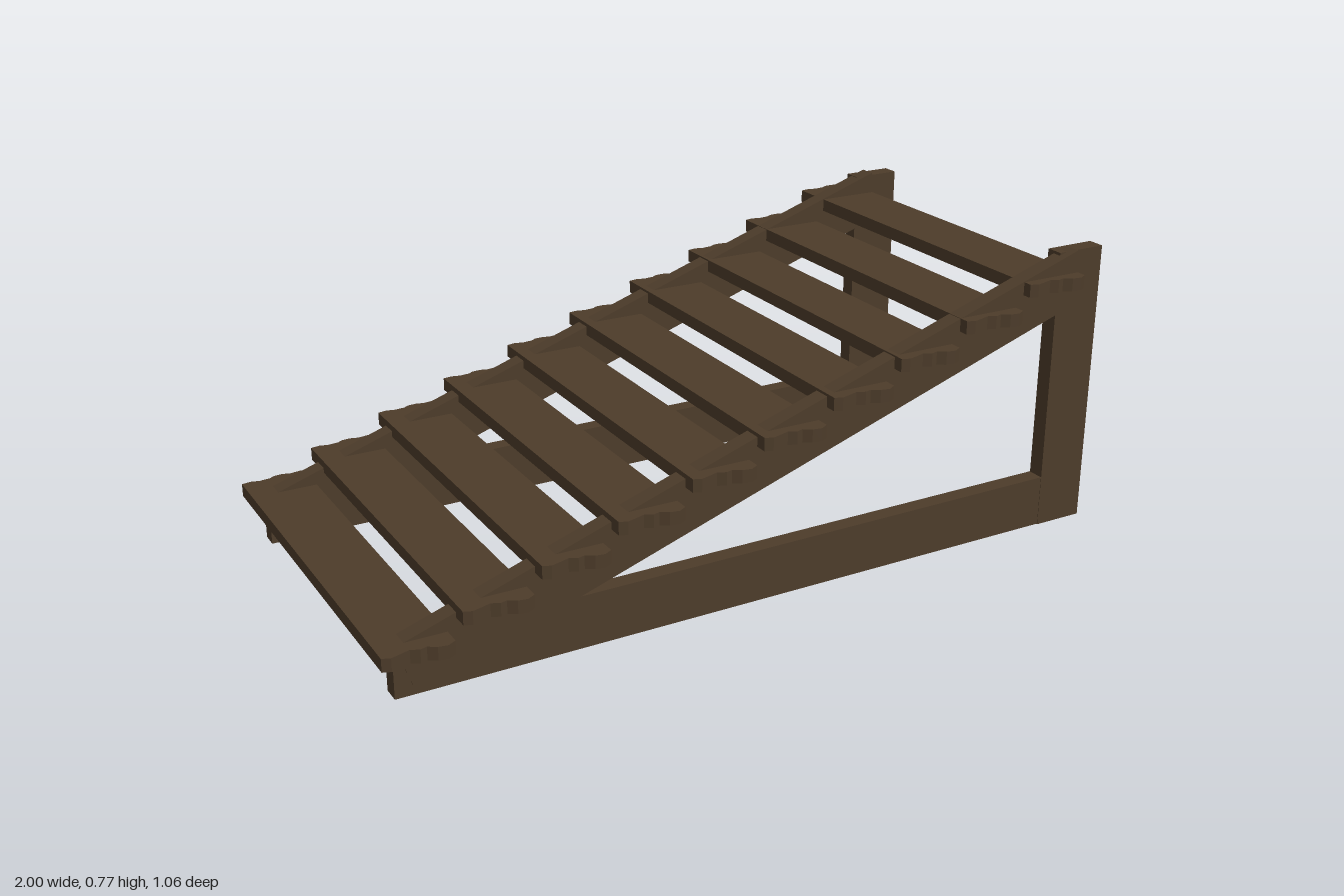
import * as THREE from 'three';

const wood = new THREE.MeshStandardMaterial({ color: 0x4d3c2a, flatShading: true });

function addBox(parent, name, size, pos) {
  const mesh = new THREE.Mesh(new THREE.BoxGeometry(...size), wood);
  mesh.name = name;
  mesh.position.set(...pos);
  parent.add(mesh);
  return mesh;
}

// Ragged end profiles: [fraction across the plank, z]
const frontEnd = [[0, 0.512], [0.12, 0.52], [0.25, 0.514], [0.4, 0.506], [0.52, 0.516],
  [0.62, 0.511], [0.74, 0.524], [0.88, 0.528], [1, 0.516]];
const backEnd = [[1, -0.522], [0.94, -0.53], [0.78, -0.526], [0.66, -0.532], [0.52, -0.53],
  [0.44, -0.521], [0.28, -0.518], [0.14, -0.524], [0, -0.52]];

function plankGeometry(width, thickness) {
  const points = [...frontEnd, ...backEnd].map(([t, z]) => new THREE.Vector2((t - 0.5) * width, -z));
  const geometry = new THREE.ExtrudeGeometry(new THREE.Shape(points), { depth: thickness, bevelEnabled: false });
  geometry.rotateX(-Math.PI / 2);
  return geometry;
}

export function createModel() {
  const model = new THREE.Group();
  model.name = 'slattedRamp';

  // Two side frames: ground rail, upright post and sloping stringer
  for (const [side, z, y0] of [['front', 0.447, 0.006], ['back', -0.447, 0]]) {
    const frame = new THREE.Group();
    frame.name = side + 'Frame';
    model.add(frame);
    addBox(frame, 'groundRail', [1.82, 0.136, 0.045], [-0.05, y0 + 0.07, z]);
    addBox(frame, 'uprightPost', [0.138, 0.757, 0.045], [0.93, y0 + 0.3785, z]);

    // The stringer leans slightly towards +z at its upper end
    const low = new THREE.Vector3(-0.93, 0.073, z + 0.001);
    const high = new THREE.Vector3(0.923, 0.705, z + 0.021);
    const stringer = addBox(frame, 'slopingStringer', [low.distanceTo(high), 0.136, 0.045],
      low.clone().add(high).multiplyScalar(0.5).toArray());
    stringer.quaternion.setFromUnitVectors(new THREE.Vector3(1, 0, 0), high.clone().sub(low).normalize());
  }

  // Level planks climbing the slope
  const geometry = plankGeometry(0.171, 0.034);
  for (let i = 0; i < 10; i++) {
    const plank = new THREE.Mesh(geometry, wood);
    plank.name = 'plank' + (i + 1);
    plank.position.set(-0.9145 + i * 0.1927, 0.11 + i * 0.063, 0);
    model.add(plank);
  }
  return model;
}
